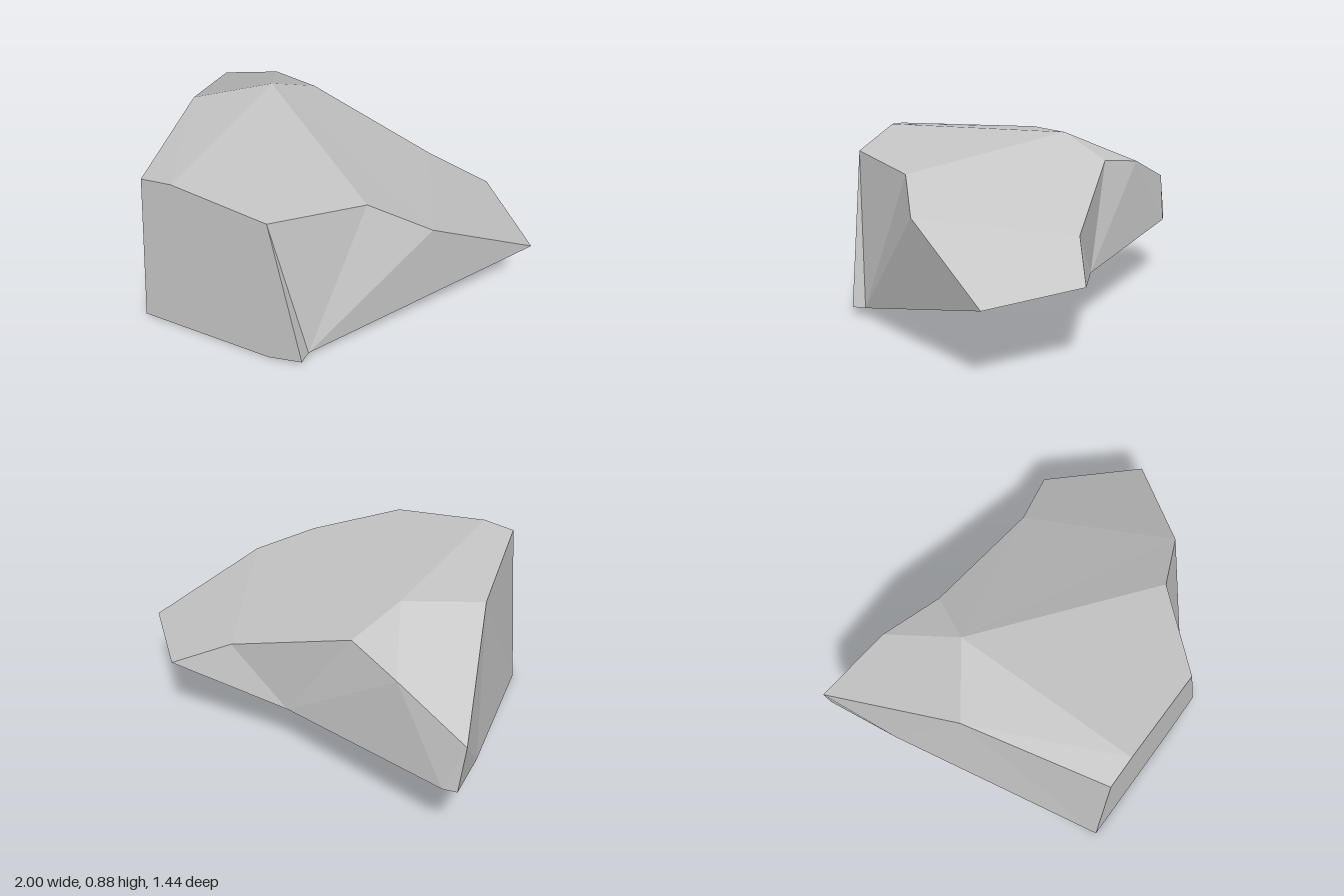
import * as THREE from 'three';

// Named corners of the boulder
const corners = {
  // front outline
  frontLowL: [-0.68, 0, 0.72], frontLowMid: [0.02, 0, 0.72], frontLowR: [0.2, 0.045, 0.72],
  frontTopR: [0.04, 0.83, 0.72], frontTopMid: [-0.45, 0.885, 0.72], frontTopL: [-0.61, 0.865, 0.72],
  // +x side
  notch: [0.2, 0.045, 0.65], shoulder: [0.36, 0.795, 0.36], slope: [0.64, 0.66, 0.24],
  tip: [1, 0.375, -0.19], tail: [0.63, 0.395, -0.57],
  // back
  backLow: [0.02, 0.271, -0.48], backTopR: [0.33, 0.545, -0.48], backTopL: [-0.33, 0.77, -0.48],
  ridge: [-0.45, 0.885, -0.24], backSlope: [-0.62, 0.715, -0.6],
  // -x side
  sideTop: [-0.77, 0.85, 0], horn: [-1, 0.56, -0.69], hornLow: [-0.98, 0.33, -0.715],
  heel: [-0.91, 0.325, -0.72], sideLow: [-0.92, 0.245, -0.36],
};

// Flat facets, corners anticlockwise from outside; each is fanned from its first corner
const facets = {
  frontFace: ['frontLowL frontLowMid frontLowR frontTopR frontTopMid frontTopL'],
  leftFacets: [
    'frontTopR frontLowR notch', 'frontTopR notch shoulder',
    'shoulder notch slope', 'slope notch tip',
  ],
  underside: [
    'backLow tail tip notch frontLowMid', 'frontLowMid notch frontLowR',
    'frontLowL sideLow hornLow heel backLow frontLowMid',
  ],
  rightFacets: [
    'sideTop frontLowL frontTopL', 'sideTop sideLow frontLowL',
    'sideTop horn sideLow', 'horn hornLow sideLow',
  ],
  backFacets: [
    'tail backLow backTopR', 'backTopR backLow backTopL', 'backTopL backLow backSlope',
    'backSlope backLow heel', 'backSlope heel horn', 'horn heel hornLow',
  ],
  topFacets: [
    'ridge frontTopMid frontTopR shoulder', 'sideTop frontTopL frontTopMid ridge',
    'ridge shoulder slope', 'ridge slope backTopR', 'ridge backTopR backTopL',
    'ridge backTopL backSlope', 'ridge backSlope sideTop', 'sideTop backSlope horn',
    'slope tip tail backTopR',
  ],
};

function facetGeometry(polygons) {
  const positions = [];
  for (const polygon of polygons) {
    const points = polygon.split(' ').map((name) => corners[name]);
    for (let i = 1; i < points.length - 1; i++) {
      positions.push(...points[0], ...points[i], ...points[i + 1]);
    }
  }
  const geometry = new THREE.BufferGeometry();
  geometry.setAttribute('position', new THREE.Float32BufferAttribute(positions, 3));
  geometry.computeVertexNormals(); // unshared corners keep every facet flat
  return geometry;
}

export function createModel() {
  const boulder = new THREE.Group();
  boulder.name = 'boulder';
  const stone = new THREE.MeshStandardMaterial({ color: 0xc6c6c6 });
  stone.name = 'stone grey';
  for (const [name, polygons] of Object.entries(facets)) {
    const mesh = new THREE.Mesh(facetGeometry(polygons), stone);
    mesh.name = name;
    boulder.add(mesh);
  }
  return boulder;
}
